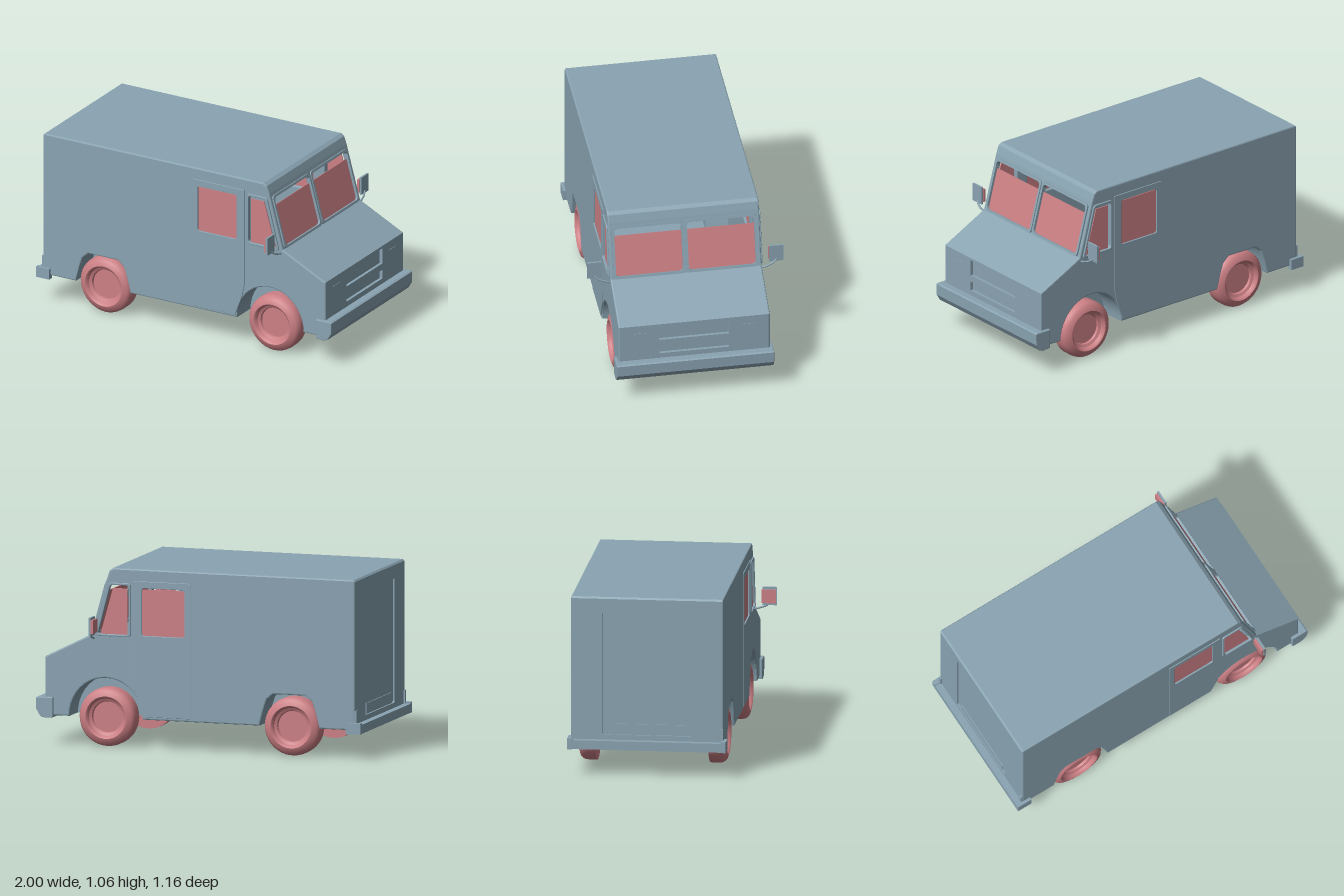
import * as THREE from 'three';
import { toCreasedNormals } from 'three/addons/utils/BufferGeometryUtils.js';

const paint = new THREE.MeshStandardMaterial({ color: 0x8aa4b2 });
const paintThin = new THREE.MeshStandardMaterial({ color: 0x8aa4b2, side: THREE.DoubleSide });
const accent = new THREE.MeshStandardMaterial({ color: 0xcc8085 });

const W = 0.447; // half width of the body
const INNER = 0.437; // half width of the cross panels

export function createModel() {
  const van = new THREE.Group();
  van.name = 'stepVan';

  const add = (name, geo, mat = paint, x = 0, y = 0, z = 0) => {
    const m = new THREE.Mesh(geo, mat);
    m.name = name;
    m.position.set(x, y, z);
    van.add(m);
    return m;
  };
  const poly = (pts) => new THREE.Shape(pts.map(([x, y]) => new THREE.Vector2(x, y)));
  // polygon with rounded corners
  const rounded = (pts, r) => {
    const v = pts.map((p) => new THREE.Vector2(...p));
    const s = new THREE.Shape();
    v.forEach((c, i) => {
      const toward = (o) => c.clone().add(o.clone().sub(c).setLength(r));
      const a = toward(v[(i + v.length - 1) % v.length]);
      const b = toward(v[(i + 1) % v.length]);
      if (i === 0) s.moveTo(a.x, a.y);
      else s.lineTo(a.x, a.y);
      s.quadraticCurveTo(c.x, c.y, b.x, b.y);
    });
    s.closePath();
    return s;
  };
  const rect = (x0, y0, x1, y1, r = 0) => {
    const p = [[x0, y0], [x1, y0], [x1, y1], [x0, y1]];
    return r ? rounded(p, r) : poly(p);
  };
  const cut = (shape, ...holes) => {
    shape.holes.push(...holes);
    return shape;
  };
  // extruded slab centred on z, optionally with softened edges
  const slab = (shape, t, bevel = 0) => {
    const depth = t - 2 * bevel;
    const g = new THREE.ExtrudeGeometry(shape, {
      depth, curveSegments: 6, bevelEnabled: bevel > 0, bevelSize: bevel,
      bevelThickness: bevel, bevelOffset: -bevel, bevelSegments: 2,
    });
    return g.translate(0, 0, -depth / 2);
  };
  // panel across the van: shape u runs along -z, v runs from a towards b, outer face raised by lift
  const across = (name, a, b, shape, t = 0.018, lift = 0, mat = paint) => {
    const d = new THREE.Vector3(b[0] - a[0], b[1] - a[1], 0).normalize();
    const u = new THREE.Vector3(0, 0, -1);
    const n = new THREE.Vector3().crossVectors(u, d);
    const g = slab(shape, t).translate(0, 0, lift - t / 2);
    g.applyMatrix4(new THREE.Matrix4().makeBasis(u, d, n).setPosition(a[0], a[1], 0));
    return add(name, g, mat);
  };
  const span = (a, b) => Math.hypot(b[0] - a[0], b[1] - a[1]);

  // Side outline and wheel arches
  const outline = [[0.95, 0.175], [0.95, 0.52], [0.66, 0.665], [0.568, 1.0], [0.552, 1.045],
    [0.53, 1.06], [-0.95, 1.06], [-0.96, 1.05], [-0.96, 0.175]];
  const rearArch = [[-0.74, 0.175], [-0.715, 0.27], [-0.695, 0.33], [-0.655, 0.365],
    [-0.455, 0.365], [-0.415, 0.33], [-0.395, 0.27], [-0.37, 0.175]];
  const frontArch = Array.from({ length: 21 }, (_, i) => {
    const t = Math.PI * (1 - i / 20);
    return [0.575 + 0.225 * Math.cos(t), 0.175 + 0.235 * Math.sin(t)];
  });
  const doorWindow = () => rect(0.088, 0.67, 0.352, 0.95, 0.015);
  const cornerWindow = () => rounded([[0.432, 0.67], [0.622, 0.67], [0.545, 0.962], [0.432, 0.962]], 0.02);

  for (const s of [1, -1]) {
    // Side wall, door and windows
    const wall = cut(poly([...outline, ...rearArch, ...frontArch]), doorWindow(), cornerWindow());
    add('sideWall', slab(wall, 0.026, 0.008), paint, 0, 0, s * (W - 0.013));
    const door = cut(poly([[0.052, 0.192], [0.34, 0.192], [0.385, 0.31], [0.405, 0.4],
      [0.405, 0.99], [0.052, 0.99]]), doorWindow());
    add('sideDoor', slab(door, 0.01, 0.002), paint, 0, 0, s * W);
    add('doorGlass', slab(rect(0.085, 0.665, 0.355, 0.942), 0.006), accent, 0, 0, s * (W - 0.008));
    const trim = cut(rounded([[0.42, 0.658], [0.64, 0.658], [0.558, 0.975], [0.42, 0.975]], 0.02), cornerWindow());
    add('cornerWindowFrame', slab(trim, 0.02, 0.003), paint, 0, 0, s * (W - 0.001));
    add('cornerGlass', slab(poly([[0.443, 0.665], [0.61, 0.665], [0.532, 0.942], [0.443, 0.942]]), 0.006),
      accent, 0, 0, s * (W - 0.008));

    // Wheel wells
    for (const arch of [rearArch, frontArch]) {
      const n = arch.length;
      const g = new THREE.PlaneGeometry(1, 1, n - 1, 1);
      for (let i = 0; i < n; i++) {
        g.attributes.position.setXYZ(i, ...arch[i], s * 0.43);
        g.attributes.position.setXYZ(n + i, ...arch[i], s * 0.29);
      }
      g.computeVertexNormals();
      add('wheelWell', g, paintThin);
      add('wheelWellInnerWall', new THREE.ShapeGeometry(poly(arch)), paintThin, 0, 0, s * 0.29);
    }

    // Mirror: housing, glass facing the rear and curved arm
    add('mirrorHousing', new THREE.BoxGeometry(0.012, 0.108, 0.084), paint, 0.63, 0.725, s * 0.538);
    add('mirrorGlass', new THREE.BoxGeometry(0.014, 0.08, 0.084), accent, 0.617, 0.725, s * 0.534);
    const arm = new THREE.CatmullRomCurve3([[0.648, 0.64, 0.44], [0.648, 0.65, 0.475],
      [0.642, 0.665, 0.515], [0.633, 0.685, 0.54]].map(([x, y, z]) => new THREE.Vector3(x, y, s * z)));
    add('mirrorArm', new THREE.TubeGeometry(arm, 12, 0.006, 8), paint);

    // Corner pads of the rear bumper and thin front marker slits
    add('rearBumperPad', new THREE.BoxGeometry(0.09, 0.065, 0.03), paint, -0.953, 0.187, s * 0.45);
    add('rearCornerPost', new THREE.BoxGeometry(0.012, 0.08, 0.02), paint, -0.962, 0.25, s * 0.435);
    add('frontMarker', new THREE.BoxGeometry(0.006, 0.006, 0.07), paint, 0.95, 0.465, s * 0.32);
  }

  // Nose with two grille openings
  const [noseLow, noseTop, cowl, brow, browTop, roofFront, roofBack, backTop, backLow] = outline;
  const nose = cut(rect(-INNER, 0, INNER, span(noseLow, noseTop)),
    rect(-0.205, 0.235, 0.205, 0.33), rect(-0.205, 0.14, 0.205, 0.195));
  across('nosePanel', noseLow, noseTop, nose);
  across('grilleBacking', noseLow, noseTop, rect(-0.23, 0.12, 0.23, 0.34), 0.006, -0.018);
  across('hood', noseTop, cowl, rect(-INNER, 0, INNER, span(noseTop, cowl)));

  // Windscreen frame, raised rims and the two panes
  const pane = (s, g = 0) => {
    const [a, b] = [s * (0.017 - g), s * (0.413 + g)];
    return rect(Math.min(a, b), 0.015 - g, Math.max(a, b), 0.312 + g, 0.025);
  };
  across('windscreenFrame', cowl, brow,
    cut(rect(-INNER, 0, INNER, span(cowl, brow)), pane(1), pane(-1)));
  for (const s of [1, -1]) {
    across('windscreenRim', cowl, brow, cut(pane(s, 0.014), pane(s)), 0.016, 0.009);
    across('windscreenGlass', cowl, brow, rect(s * 0.215 - 0.2, 0.012, s * 0.215 + 0.2, 0.264),
      0.006, -0.006, accent);
  }

  // Roof
  for (const [a, b] of [[brow, browTop], [browTop, roofFront], [roofFront, roofBack], [roofBack, backTop]])
    across('roofPanel', a, b, rect(-INNER, 0, INNER, span(a, b)));

  // Back wall with recessed door and a step plate under it
  across('backWall', backTop, backLow,
    cut(rect(-INNER, 0, INNER, span(backTop, backLow)), rect(-0.26, 0.075, 0.26, 0.81, 0.012)));
  across('backDoor', backTop, backLow, rect(-0.265, 0.07, 0.265, 0.815), 0.01, -0.01);
  across('backDoorStep', backTop, backLow, rect(-0.225, 0.745, 0.225, 0.805), 0.01, -0.004);

  // Floor with notches for the wheels
  const half = [[-0.95, 0.435], [-0.74, 0.435], [-0.74, 0.29], [-0.37, 0.29], [-0.37, 0.435],
    [0.35, 0.435], [0.35, 0.29], [0.8, 0.29], [0.8, 0.435], [0.94, 0.435]];
  const floor = poly([...half, ...half.map(([x, z]) => [x, -z]).reverse()]);
  add('floor', slab(floor, 0.02).rotateX(Math.PI / 2), paint, 0, 0.2, 0);

  // Bumpers
  const frontBumper = poly([[0.895, 0.165], [0.945, 0.16], [0.975, 0.172], [0.998, 0.21],
    [1.0, 0.278], [0.99, 0.283], [0.895, 0.283]]);
  add('frontBumper', slab(frontBumper, 0.93, 0.004));
  add('rearBumper', slab(rect(-1, 0.157, -0.95, 0.21), 0.93, 0.004));

  // Wheels and axles
  const tyre = [[0, -0.052], [0.172, -0.052], [0.173, 0], [0.17, 0.022], [0.155, 0.042], [0.125, 0.052],
    [0.118, 0.048], [0.11, 0.028], [0.094, 0.02], [0.09, 0.008], [0, 0.008]];
  const wheel = toCreasedNormals(
    new THREE.LatheGeometry(tyre.map((p) => new THREE.Vector2(...p)), 48), 0.7);
  for (const x of [-0.56, 0.58]) {
    for (const s of [1, -1]) add('wheel', wheel, accent, x, 0.174, s * 0.383).rotation.x = s * Math.PI / 2;
    add('axle', new THREE.CylinderGeometry(0.06, 0.06, 0.68, 24), paint, x, 0.174, 0).rotation.x = Math.PI / 2;
  }
  return van;
}
